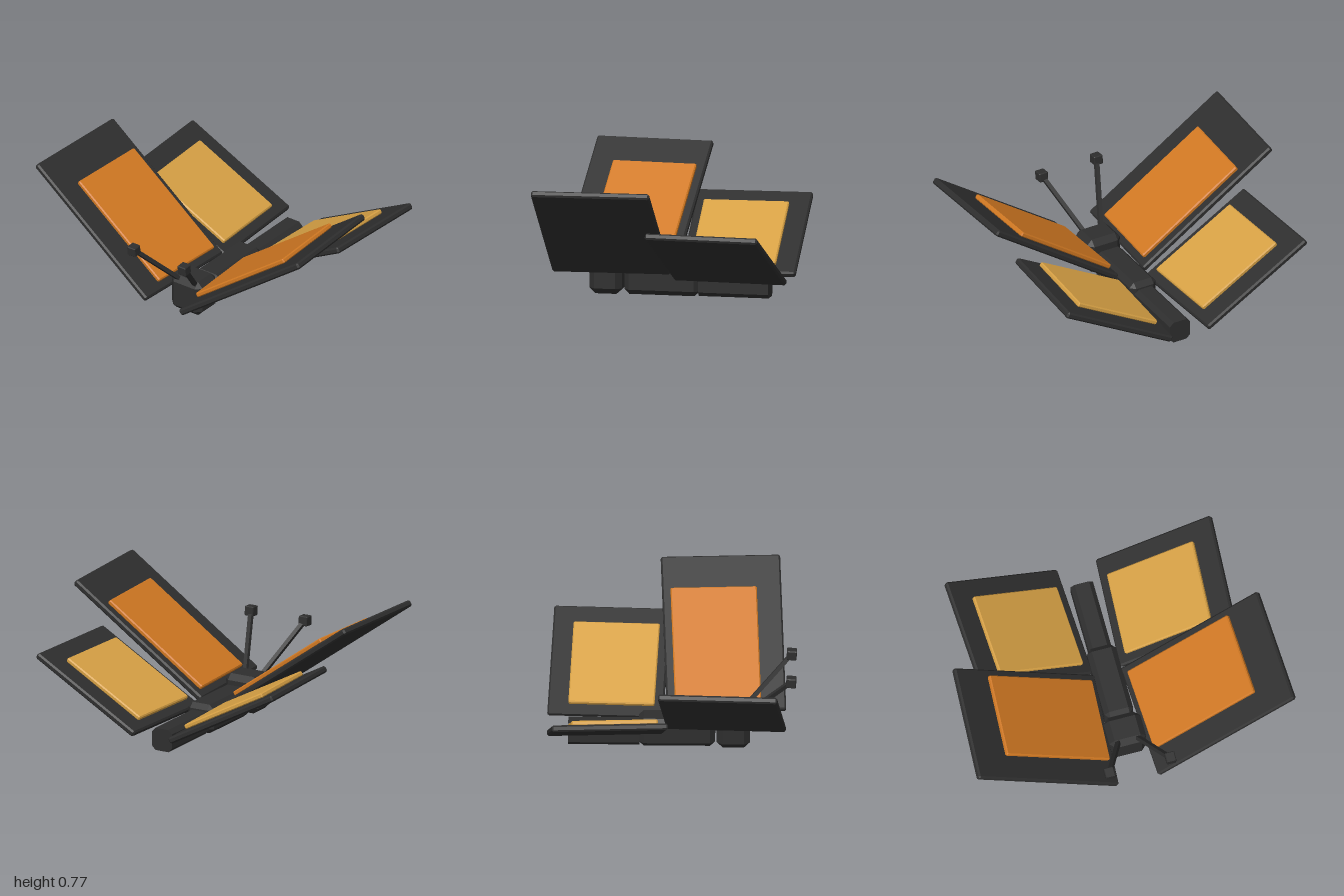
import * as THREE from 'three';
import { ConvexGeometry } from 'three/addons/geometries/ConvexGeometry.js';

const material = (name, color) => {
  const m = new THREE.MeshStandardMaterial({ color });
  m.name = name;
  return m;
};

// Box with flat chamfers; cz = 0 leaves the end faces square
function chamferBox(w, h, d, c, cz = c) {
  const pts = [];
  for (const x of [-w / 2, w / 2])
    for (const y of [-h / 2, h / 2])
      for (const z of [-d / 2, d / 2]) {
        const ix = x - Math.sign(x) * c, iy = y - Math.sign(y) * c, iz = z - Math.sign(z) * cz;
        pts.push(new THREE.Vector3(x, iy, iz), new THREE.Vector3(ix, y, iz));
        if (cz > 0) pts.push(new THREE.Vector3(ix, iy, z));
      }
  return new ConvexGeometry(pts);
}

export function createModel() {
  const black = material('charcoal', 0x2e2e2e);
  const orange = material('orange', 0xd07822);
  const amber = material('amber', 0xd6a044);
  const model = new THREE.Group();
  model.name = 'butterfly';

  const add = (parent, name, geometry, mat, x, y, z) => {
    const mesh = new THREE.Mesh(geometry, mat);
    mesh.name = name;
    mesh.position.set(x, y, z);
    parent.add(mesh);
    return mesh;
  };

  // Body, three blocks resting on the ground
  add(model, 'head', chamferBox(0.23, 0.23, 0.2, 0.035), black, 0, 0.115, 0.37);
  add(model, 'thorax', chamferBox(0.18, 0.18, 0.46, 0.03), black, 0, 0.09, 0.03);
  add(model, 'abdomen', chamferBox(0.14, 0.14, 0.43, 0.025, 0), black, 0, 0.07, -0.41);

  // Wings: a dark slab with a raised coloured panel
  const wings = [
    { name: 'foreWing', pos: [0.54, 0.455, 0.305], roll: 35.5, yaw: 3, size: [1.06, 0.72],
      panel: [0.78, 0.52], shift: [-0.09, -0.05], mat: orange },
    { name: 'hindWing', pos: [0.46, 0.303, -0.385], roll: 28, yaw: -3, size: [0.8, 0.7],
      panel: [0.6, 0.52], shift: [-0.036, 0.035], mat: amber },
  ];
  const rad = THREE.MathUtils.degToRad;
  for (const side of [1, -1]) {
    const label = side > 0 ? 'left' : 'right';
    for (const w of wings) {
      const wing = new THREE.Group();
      wing.name = `${label} ${w.name}`;
      wing.position.set(side * w.pos[0], w.pos[1], w.pos[2]);
      wing.rotation.set(0, side * rad(w.yaw), side * rad(w.roll), 'YXZ');
      add(wing, 'wingSlab', chamferBox(w.size[0], 0.04, w.size[1], 0.01), black, 0, 0, 0);
      add(wing, 'wingPanel', chamferBox(w.panel[0], 0.03, w.panel[1], 0.007), w.mat,
        side * w.shift[0], 0.034, w.shift[1]);
      model.add(wing);
    }

    // Antenna stalk leaning forward and outward, with a cube tip
    const base = new THREE.Vector3(side * 0.055, 0.2, 0.43);
    const tip = new THREE.Vector3(side * 0.19, 0.495, 0.72);
    const dir = tip.clone().sub(base);
    const mid = base.clone().add(tip).multiplyScalar(0.5);
    const stalk = add(model, `${label} antenna`, new THREE.BoxGeometry(0.025, dir.length(), 0.025),
      black, mid.x, mid.y, mid.z);
    stalk.quaternion.setFromUnitVectors(new THREE.Vector3(0, 1, 0), dir.normalize());
    const cube = add(model, `${label} antennaTip`, chamferBox(0.06, 0.06, 0.06, 0.005),
      black, tip.x, tip.y, tip.z);
    cube.rotation.x = 0.08;
  }
  return model;
}
